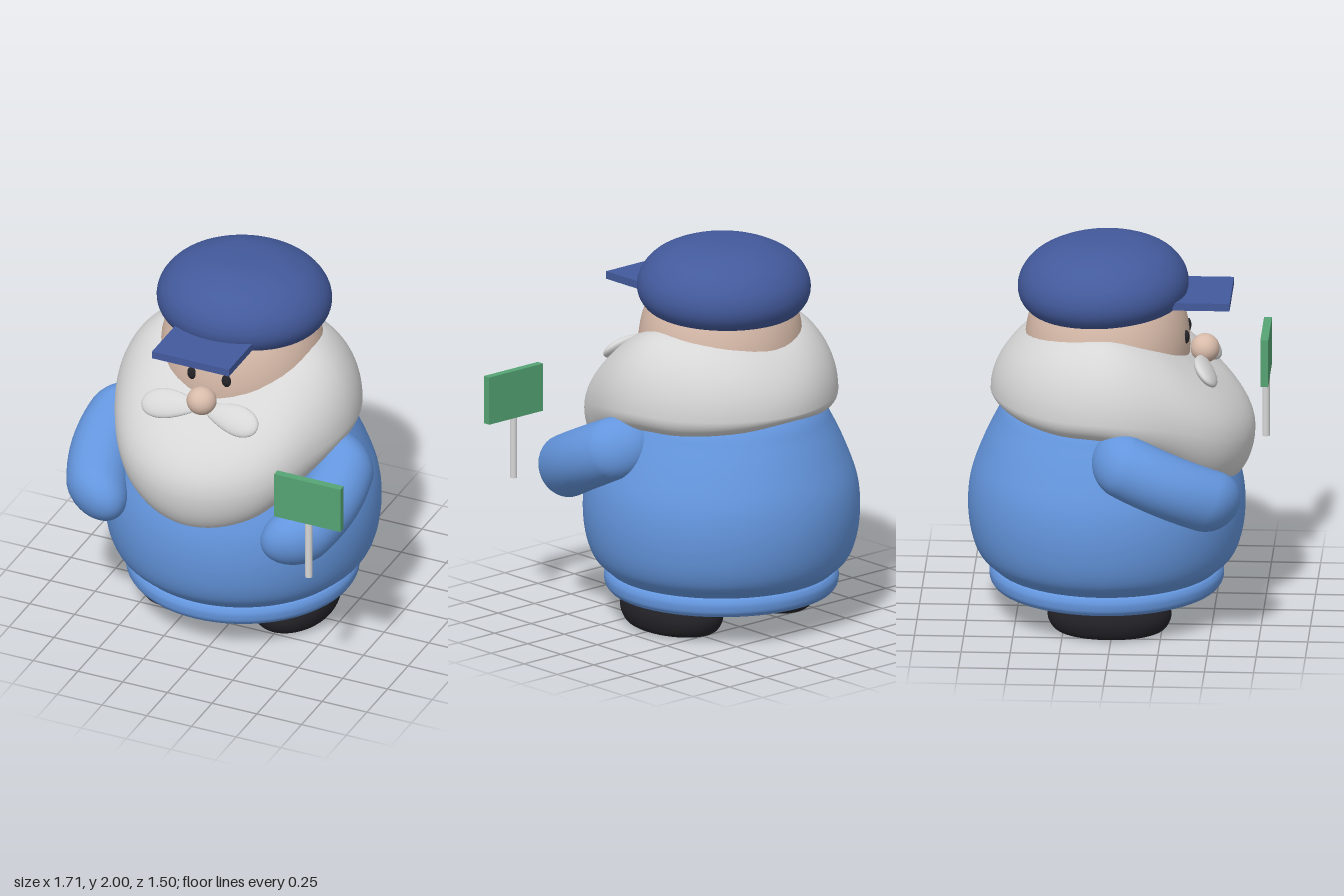
import * as THREE from 'three';
import { mergeVertices } from 'three/addons/utils/BufferGeometryUtils.js';

const mat = (name, color) => {
  const m = new THREE.MeshStandardMaterial({ color });
  m.name = name;
  return m;
};

// Smooth interpolation of values given every 30 degrees from front (0) to back (6), mirrored
function around(values, a) {
  const n = values.length - 1;
  const at = (k) => values[Math.abs(k) > n ? 2 * n - Math.abs(k) : Math.abs(k)];
  const t = Math.min((Math.abs(a) / Math.PI) * n, n - 1e-6), k = Math.floor(t), f = t - k;
  const [p, q, r, s] = [at(k - 1), at(k), at(k + 1), at(k + 2)];
  return q + 0.5 * f * (r - p + f * (2 * p - 5 * q + 4 * r - s + f * (3 * (q - r) + s - p)));
}

// Spline through [radius, y] points, bottom to top
const profile = (pts, n = 40) =>
  new THREE.SplineCurve(pts.map(([x, y]) => new THREE.Vector2(x, y))).getPoints(n)
    .map((p) => new THREE.Vector2(Math.max(p.x, 0), p.y));

const lathe = (pts, n) => new THREE.LatheGeometry(profile(pts, n), 64);

// Beard: closed ring of sections, sloping out from the face and curling under
function beardGeometry() {
  const topR = [0.36, 0.37, 0.38, 0.39, 0.4, 0.4, 0.4];
  const topY = [1.41, 1.45, 1.52, 1.58, 1.57, 1.55, 1.53];
  const wideR = [0.71, 0.69, 0.635, 0.635, 0.625, 0.625, 0.635];
  const wideY = [1.0, 1.04, 1.15, 1.2, 1.2, 1.2, 1.2];
  const lowR = [0.52, 0.52, 0.5, 0.5, 0.5, 0.5, 0.5];
  const lowY = [0.72, 0.79, 0.97, 1.08, 1.09, 1.11, 1.14];
  const power = [2.2, 2.0, 1.5, 1.25, 1.3, 1.4, 1.5];
  const N = 96, M = 36, pos = [], idx = [];
  for (let i = 0; i < N; i++) {
    let a = (i / N) * Math.PI * 2;
    const sx = Math.sin(a), cz = Math.cos(a);
    if (a > Math.PI) a = 2 * Math.PI - a;
    const g = (v) => around(v, a);
    for (let j = 0; j <= M; j++) {
      const u = (j / M) * Math.PI, c = Math.cos(u), s = Math.sin(u);
      const upper = j <= M / 2;
      const r0 = g(upper ? topR : lowR), y0 = g(upper ? topY : lowY);
      const r = r0 + (g(wideR) - r0) * Math.pow(Math.max(s, 0), upper ? g(power) : 1);
      const y = g(wideY) + (y0 - g(wideY)) * Math.abs(c);
      pos.push(r * sx, y, r * cz);
      if (j < M) {
        const p = i * (M + 1) + j, q = ((i + 1) % N) * (M + 1) + j;
        idx.push(p, p + 1, q, q, p + 1, q + 1);
      }
    }
  }
  const geo = new THREE.BufferGeometry();
  geo.setAttribute('position', new THREE.Float32BufferAttribute(pos, 3));
  geo.setIndex(idx);
  geo.computeVertexNormals();
  return geo;
}

// Move vertices by a rule, then rebuild smooth normals without seams
function reshape(geo, rule) {
  geo.deleteAttribute('uv');
  geo.deleteAttribute('normal');
  const g = mergeVertices(geo, 1e-5), p = g.attributes.position, v = new THREE.Vector3();
  for (let i = 0; i < p.count; i++) {
    v.fromBufferAttribute(p, i);
    rule(v);
    p.setXYZ(i, v.x, v.y, v.z);
  }
  g.computeVertexNormals();
  return g;
}

// Arm: capsule from hand to shoulder, bowed outward
function armGeometry(side) {
  const hand = new THREE.Vector3(side * 0.5, 0.79, 0.5);
  const shoulder = new THREE.Vector3(side * 0.56, 0.99, 0.07);
  const dir = shoulder.clone().sub(hand), len = dir.length();
  const turn = new THREE.Quaternion().setFromUnitVectors(new THREE.Vector3(0, 1, 0), dir.normalize());
  const mid = hand.clone().add(shoulder).multiplyScalar(0.5);
  return reshape(new THREE.CapsuleGeometry(0.162, len, 16, 32, 16), (v) => {
    const s = v.y / (len / 2 + 0.16);
    v.applyQuaternion(turn).add(mid);
    v.x += side * 0.1 * (1 - s * s);
  });
}

// Moustache lobe: flattened ellipsoid, narrow toward the nose
const lobeGeometry = (side) => reshape(new THREE.SphereGeometry(1, 32, 20), (v) => {
  const w = 0.75 + 0.3 * v.x * (1 - 0.25 * v.x);
  v.set(side * v.x * 0.16, v.y * w * 0.1 - v.x * 0.018, v.z * w * 0.042);
  if (side < 0) v.z = -v.z; // half turn keeps the faces outward
});

export function createModel() {
  const blue = mat('coat blue', 0x6496de);
  const navy = mat('cap navy', 0x435a9c);
  const white = mat('beard white', 0xd6d6d6);
  const skin = mat('skin', 0xd8bbaa);
  const black = mat('shoe black', 0x232328);
  const green = mat('sign green', 0x55a474);

  const model = new THREE.Group();
  const figure = new THREE.Group();
  figure.name = 'figure';
  figure.position.x = -0.06;
  model.add(figure);
  const add = (name, geo, material, x = 0, y = 0, z = 0, parent = figure) => {
    const m = new THREE.Mesh(geo, material);
    m.name = name;
    m.position.set(x, y, z);
    parent.add(m);
    return m;
  };
  const ball = (rx, ry, rz) => new THREE.SphereGeometry(1, 40, 28).scale(rx, ry, rz);

  // Coat with rolled hem
  add('coat', lathe([[0.53, 0.22], [0.58, 0.27], [0.65, 0.34], [0.69, 0.45], [0.705, 0.6], [0.688, 0.75],
    [0.635, 0.9], [0.57, 1.04], [0.5, 1.15], [0.3, 1.3], [0, 1.34]], 48), blue, 0, 0, -0.045);
  add('hem', lathe([[0, 0.17], [0.3, 0.165], [0.54, 0.162], [0.585, 0.18], [0.596, 0.215],
    [0.592, 0.245], [0.57, 0.268], [0.5, 0.275]]), blue, 0, 0, -0.045);

  // Head, beard and cap
  add('head', ball(0.42, 0.5, 0.42), skin, 0, 1.45, -0.04);
  add('beard', beardGeometry(), white);
  const cap = add('cap', lathe([[0, -0.13], [0.2, -0.13], [0.36, -0.125], [0.425, -0.075], [0.448, 0],
    [0.425, 0.085], [0.35, 0.165], [0.22, 0.222], [0.1, 0.24], [0, 0.243]], 48), navy, 0, 1.757, -0.063);
  cap.rotation.x = -0.045;
  cap.scale.z = 0.97;
  add('capVisor', new THREE.BoxGeometry(0.43, 0.04, 0.29), navy, 0, 1.71, 0.445);
  add('nose', ball(0.077, 0.074, 0.074), skin, 0, 1.42, 0.455);

  // Paired parts
  for (const side of [-1, 1]) {
    const label = side > 0 ? 'left' : 'right';
    add(label + 'Eye', ball(0.025, 0.035, 0.016), black, side * 0.096, 1.51, 0.364);
    add(label + 'Moustache', lobeGeometry(side), white, side * 0.165, 1.363, 0.465).rotation.x = -0.75;
    add(label + 'Arm', armGeometry(side), blue);
    const shoe = lathe([[0, 0.025], [0.4, 0.012], [0.7, 0.002], [0.9, 0.025], [1, 0.09],
      [0.93, 0.16], [0.7, 0.205], [0.35, 0.22], [0, 0.225]]).scale(0.21, 1, 0.315);
    add(label + 'Shoe', shoe, black, side * 0.313, 0, -0.015);
  }

  // Hand-held sign
  const sign = new THREE.Group();
  sign.name = 'sign';
  sign.position.set(0.665, 0, 0.727);
  model.add(sign);
  add('signBoard', new THREE.BoxGeometry(0.37, 0.25, 0.04), green, 0, 1.155, 0, sign);
  add('signStick', new THREE.CylinderGeometry(0.019, 0.019, 0.34, 20), white, 0, 0.88, 0, sign);
  return model;
}
